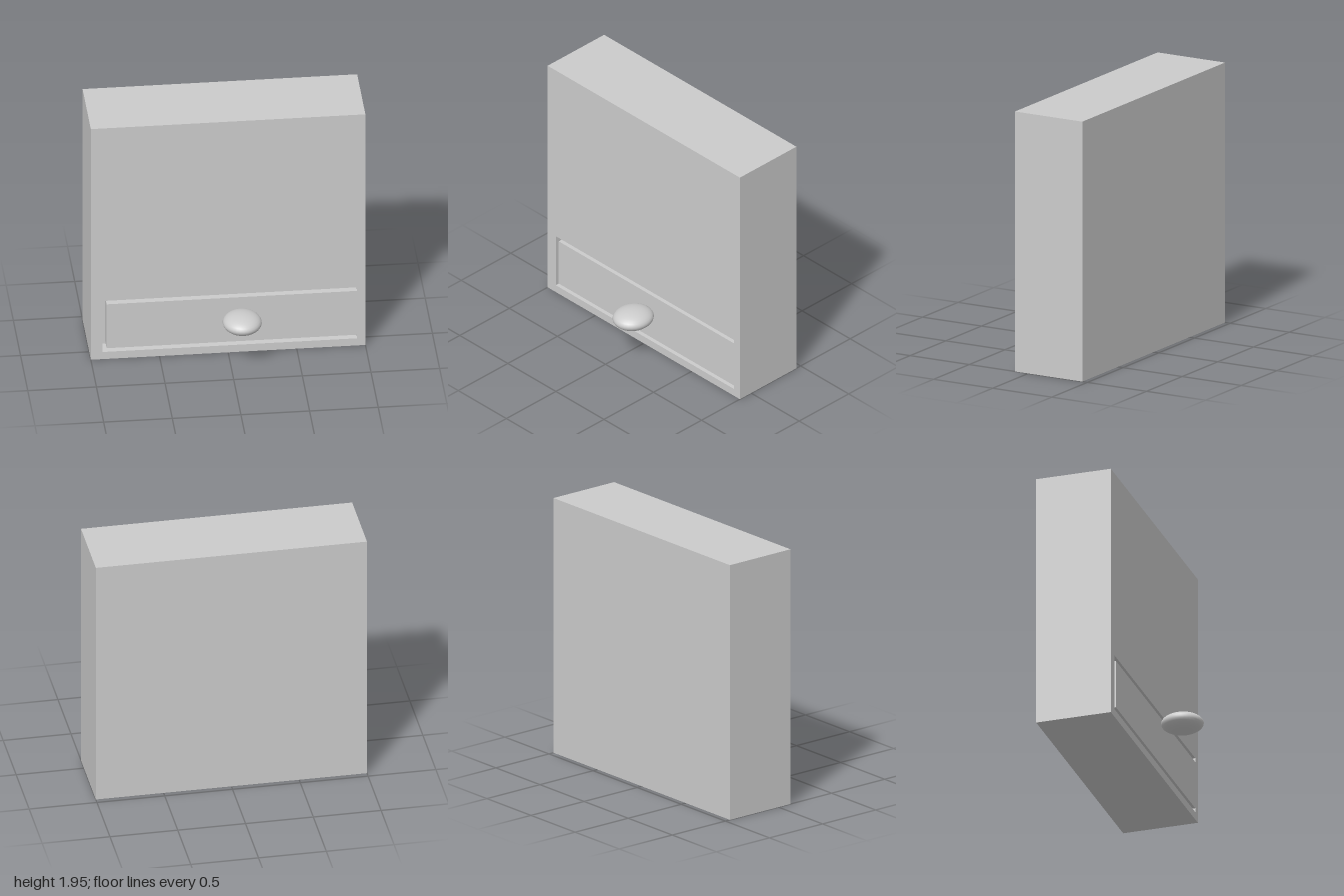
import * as THREE from 'three';
import { mergeGeometries } from 'three/addons/utils/BufferGeometryUtils.js';

const WIDTH = 2, HEIGHT = 1.945, BACK = -0.457, FRONT = 0.113;
const GROOVE_DEPTH = 0.12;

// C-shaped drawer groove, counter-clockwise from the front
const groove = [
  [0.94, 0.06], [0.94, 0.09], [-0.885, 0.09], [-0.885, 0.46],
  [0.94, 0.46], [0.94, 0.49], [-0.915, 0.49], [-0.915, 0.06],
].map(([x, y]) => new THREE.Vector2(x, y));

// Walls of the groove, facing into the channel
function grooveWalls() {
  const positions = [];
  const floor = FRONT - GROOVE_DEPTH;
  groove.forEach((a, i) => {
    const b = groove[(i + 1) % groove.length];
    positions.push(
      a.x, a.y, FRONT, b.x, b.y, FRONT, b.x, b.y, floor,
      a.x, a.y, FRONT, b.x, b.y, floor, a.x, a.y, floor,
    );
  });
  const geometry = new THREE.BufferGeometry();
  geometry.setAttribute('position', new THREE.Float32BufferAttribute(positions, 3));
  geometry.computeVertexNormals();
  return geometry;
}

function cabinetGeometry() {
  // Box without its front face
  const shell = new THREE.BoxGeometry(WIDTH, HEIGHT, FRONT - BACK);
  const index = Array.from(shell.index.array);
  index.splice(24, 6);
  shell.setIndex(index);
  shell.translate(0, HEIGHT / 2, (FRONT + BACK) / 2);

  // Front panel with the groove cut out
  const w = WIDTH / 2;
  const panel = new THREE.Shape([
    new THREE.Vector2(-w, 0), new THREE.Vector2(w, 0),
    new THREE.Vector2(w, HEIGHT), new THREE.Vector2(-w, HEIGHT),
  ]);
  panel.holes.push(new THREE.Path([...groove, groove[0]]));
  const face = new THREE.ShapeGeometry(panel).translate(0, 0, FRONT);

  // Bottom of the groove
  const floor = new THREE.ShapeGeometry(new THREE.Shape(groove))
    .translate(0, 0, FRONT - GROOVE_DEPTH);

  const parts = [shell, face, floor].map((g) => g.toNonIndexed().deleteAttribute('uv'));
  return mergeGeometries([...parts, grooveWalls()]);
}

export function createModel() {
  const model = new THREE.Group();
  const material = new THREE.MeshStandardMaterial({ color: 0xcccccc });

  const cabinet = new THREE.Mesh(cabinetGeometry(), material);
  cabinet.name = 'cabinet';

  // Flattened knob floating in front of the drawer
  const knob = new THREE.Mesh(new THREE.SphereGeometry(1, 32, 16), material);
  knob.name = 'drawerKnob';
  knob.scale.set(0.142, 0.07, 0.157);
  knob.position.set(0.083, 0.36, 0.3);

  model.add(cabinet, knob);
  return model;
}
